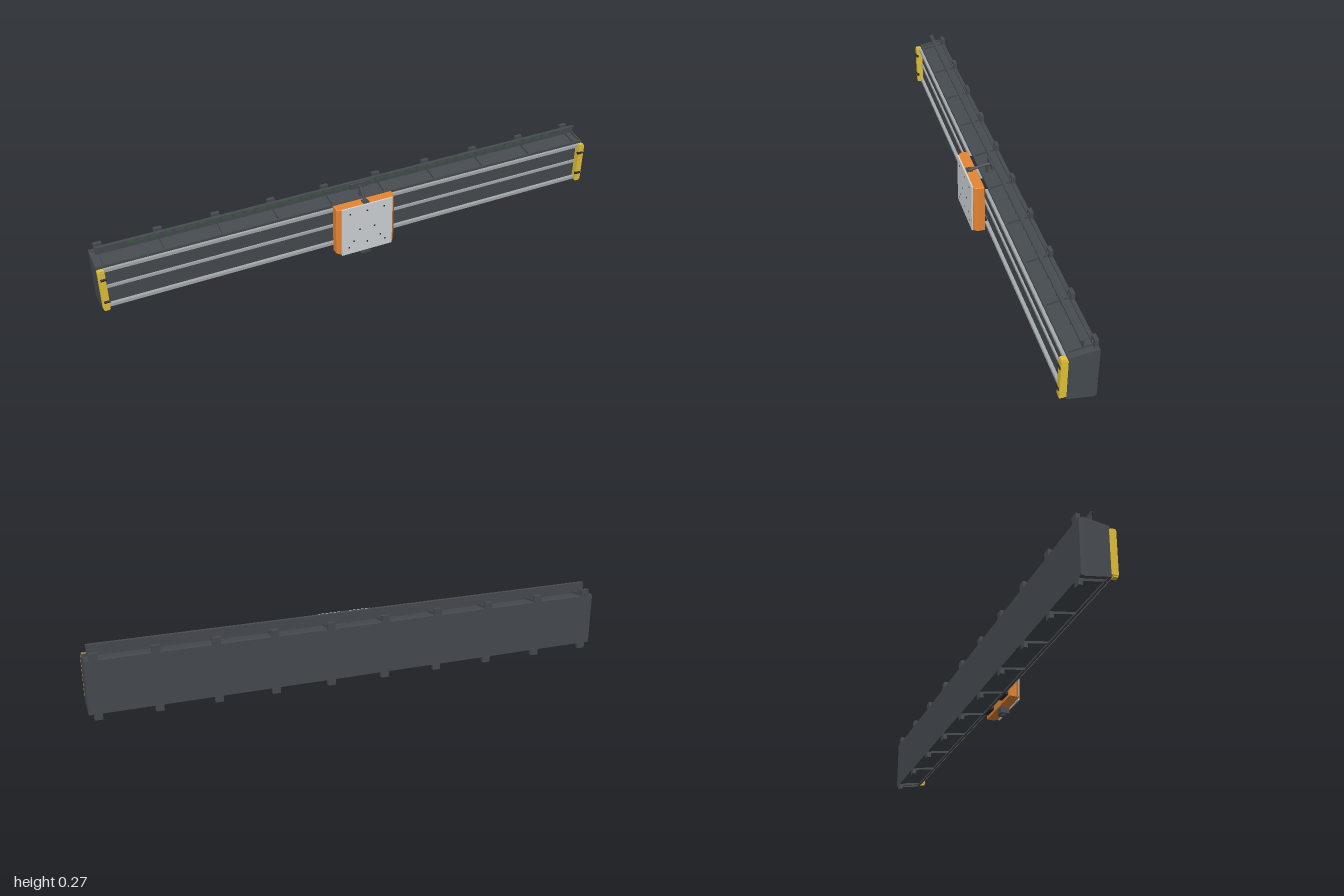
import * as THREE from 'three';

const mat = (name, color) => {
  const m = new THREE.MeshStandardMaterial({ color });
  m.name = name;
  return m;
};

export function createModel() {
  const root = new THREE.Group();
  root.name = 'linearTrack';
  const steel = mat('dark steel', 0x464b50);
  const black = mat('black', 0x26292c);
  const orange = mat('orange', 0xf28c34);
  const yellow = mat('yellow', 0xe4c236);
  const plateGrey = mat('light grey', 0xd3d7da);
  const railGrey = mat('rail grey', 0xa6abaf);
  const green = mat('dark green', 0x3a5a40);

  const add = (name, geo, material, parent = root) => {
    const m = new THREE.Mesh(geo, material);
    m.name = name;
    parent.add(m);
    return m;
  };
  // Box from its minimum and maximum along each axis
  const box = (name, x0, x1, y0, y1, z0, z1, material, parent) => {
    const m = add(name, new THREE.BoxGeometry(x1 - x0, y1 - y0, z1 - z0), material, parent);
    m.position.set((x0 + x1) / 2, (y0 + y1) / 2, (z0 + z1) / 2);
    return m;
  };
  // Disc or rod pointing along z
  const bolt = (name, x, y, z0, z1, r, material, parent) => {
    const m = add(name, new THREE.CylinderGeometry(r, r, z1 - z0, 12).rotateX(Math.PI / 2), material, parent);
    m.position.set(x, y, (z0 + z1) / 2);
  };
  // Cross-section of [z, y] points swept along x
  const sweepX = (name, pts, x0, x1, material, parent) => {
    const shape = new THREE.Shape(pts.map(([z, y]) => new THREE.Vector2(-z, y)));
    const g = new THREE.ExtrudeGeometry(shape, { depth: x1 - x0, bevelEnabled: false });
    g.rotateY(Math.PI / 2).translate(x0, 0, 0);
    return add(name, g, material, parent);
  };

  // Main beam, tapering towards the front
  const beam = new THREE.Group();
  beam.name = 'beam';
  root.add(beam);
  sweepX('beamBody', [[-0.07, 0.037], [0.018, 0.05], [0.018, 0.212], [-0.07, 0.226]], -0.995, 0.995, steel, beam);
  box('backPlate', -1, 1, 0.03, 0.231, -0.082, -0.068, steel, beam);

  // Ribs with mounting tabs and bolts
  const ribProfile = [[-0.07, 0.028], [0.018, 0.042], [0.018, 0.221], [-0.07, 0.235]];
  for (let i = 0; i < 10; i++) {
    const x = -0.967 + i * 0.2149;
    sweepX('rib', ribProfile, x - 0.003, x + 0.003, steel, beam);
    box('topTab', x - 0.015, x + 0.015, 0.225, 0.257, -0.082, -0.068, steel, beam);
    box('bottomTab', x - 0.015, x + 0.015, 0.007, 0.035, -0.082, -0.068, steel, beam);
    bolt('tabBolt', x, 0.241, -0.07, -0.064, 0.005, steel, beam);
    bolt('tabBolt', x, 0.022, -0.07, -0.064, 0.005, steel, beam);
  }
  for (const s of [-1, 1]) {
    sweepX('endPlate', ribProfile, s > 0 ? 0.994 : -1, s > 0 ? 1 : -0.994, steel, beam);
  }

  // Front flanges, guide rails and centre rack
  box('upperFlange', -1, 1, 0.212, 0.222, 0.012, 0.02, steel, beam);
  box('lowerFlange', -1, 1, 0.042, 0.052, 0.012, 0.02, steel, beam);
  for (const y of [0.207, 0.057]) {
    box('guideRail', -0.978, 0.978, y - 0.006, y + 0.006, 0.017, 0.03, railGrey, beam);
  }
  box('centreRack', -0.978, 0.978, 0.128, 0.139, 0.016, 0.024, railGrey, beam);

  // Yellow end stops with bumpers facing the carriage
  for (const s of [-1, 1]) {
    const end = new THREE.Group();
    end.name = s > 0 ? 'leftEndStop' : 'rightEndStop';
    end.position.x = s * 0.987;
    root.add(end);
    box('stopPlate', -0.012, 0.012, 0.052, 0.212, 0.019, 0.043, yellow, end);
    for (const y of [0.0495, 0.2145]) box('stopCap', -0.009, 0.009, y - 0.0025, y + 0.0025, 0.026, 0.042, yellow, end);
    for (const y of [0.085, 0.18]) {
      const b = add('bumper', new THREE.CylinderGeometry(0.006, 0.006, 0.022, 12).rotateZ(Math.PI / 2), black, end);
      b.position.set(-s * 0.004, y, 0.041);
    }
  }

  // Cable tray above the beam
  const tray = new THREE.Group();
  tray.name = 'cableTray';
  root.add(tray);
  box('trayWall', -0.985, 0.985, 0.239, 0.272, -0.033, -0.03, steel, tray);
  box('trayLip', -0.985, 0.985, 0.2695, 0.272, -0.033, -0.02, steel, tray);
  for (let i = 0; i < 40; i++) {
    const x = -0.858 + i * 0.044;
    box('traySlot', x - 0.015, x + 0.015, 0.253, 0.262, -0.031, -0.0285, green, tray);
    box('trayDivider', x + 0.019, x + 0.025, 0.241, 0.27, -0.031, -0.026, steel, tray);
  }

  // Orange carriage with chamfered front corners
  const carriage = new THREE.Group();
  carriage.name = 'carriage';
  root.add(carriage);
  const plan = new THREE.Shape([[-0.118, -0.037], [0.118, -0.037], [0.118, -0.062], [0.108, -0.074],
    [-0.108, -0.074], [-0.118, -0.062]].map(([x, y]) => new THREE.Vector2(x, y)));
  const body = new THREE.ExtrudeGeometry(plan, {
    depth: 0.198, bevelThickness: 0.002, bevelSize: 0.002, bevelSegments: 1,
  });
  body.rotateX(-Math.PI / 2).translate(0, 0.033, 0);
  add('carriageBody', body, orange, carriage);
  for (const x of [-0.075, 0.075]) {
    for (const y of [0.055, 0.207]) {
      box('bearingBlock', x - 0.03, x + 0.03, y - 0.012, y + 0.012, 0.021, 0.036, black, carriage);
    }
  }
  box('mountPlate', -0.104, 0.104, 0.028, 0.234, 0.075, 0.081, plateGrey, carriage);
  const holes = [[0, 0.207], [0.07, 0.207], [0.03, 0.13], [0.055, 0.082], [0, 0.066], [0.075, 0.057]];
  for (const [x, y] of holes) {
    for (const s of x ? [-1, 1] : [1]) bolt('plateBolt', s * x, y, 0.08, 0.0818, 0.0035, black, carriage);
  }

  // Drive motor below the carriage
  box('motorHousing', -0.02, 0.02, 0.007, 0.033, 0.04, 0.073, steel, carriage);
  const cap = add('motorCap', new THREE.CylinderGeometry(0.013, 0.011, 0.008, 20), steel, carriage);
  cap.position.set(0, 0.004, 0.057);

  // Cable arm from the carriage to the tray
  const arm = new THREE.Group();
  arm.name = 'cableArm';
  root.add(arm);
  const path = new THREE.CatmullRomCurve3([[0, 0.233, 0.064], [0.002, 0.238, 0.05], [0.008, 0.249, 0.02],
    [0.012, 0.256, 0], [0.014, 0.257, -0.02]].map((p) => new THREE.Vector3(...p)));
  add('armTube', new THREE.TubeGeometry(path, 24, 0.006, 10), steel, arm);
  box('armFoot', -0.012, 0.012, 0.232, 0.238, 0.05, 0.073, steel, arm);
  box('armHead', -0.025, 0.045, 0.246, 0.268, -0.028, -0.014, steel, arm);
  box('armPost', 0.006, 0.016, 0.218, 0.256, -0.01, -0.001, steel, arm);
  return root;
}
